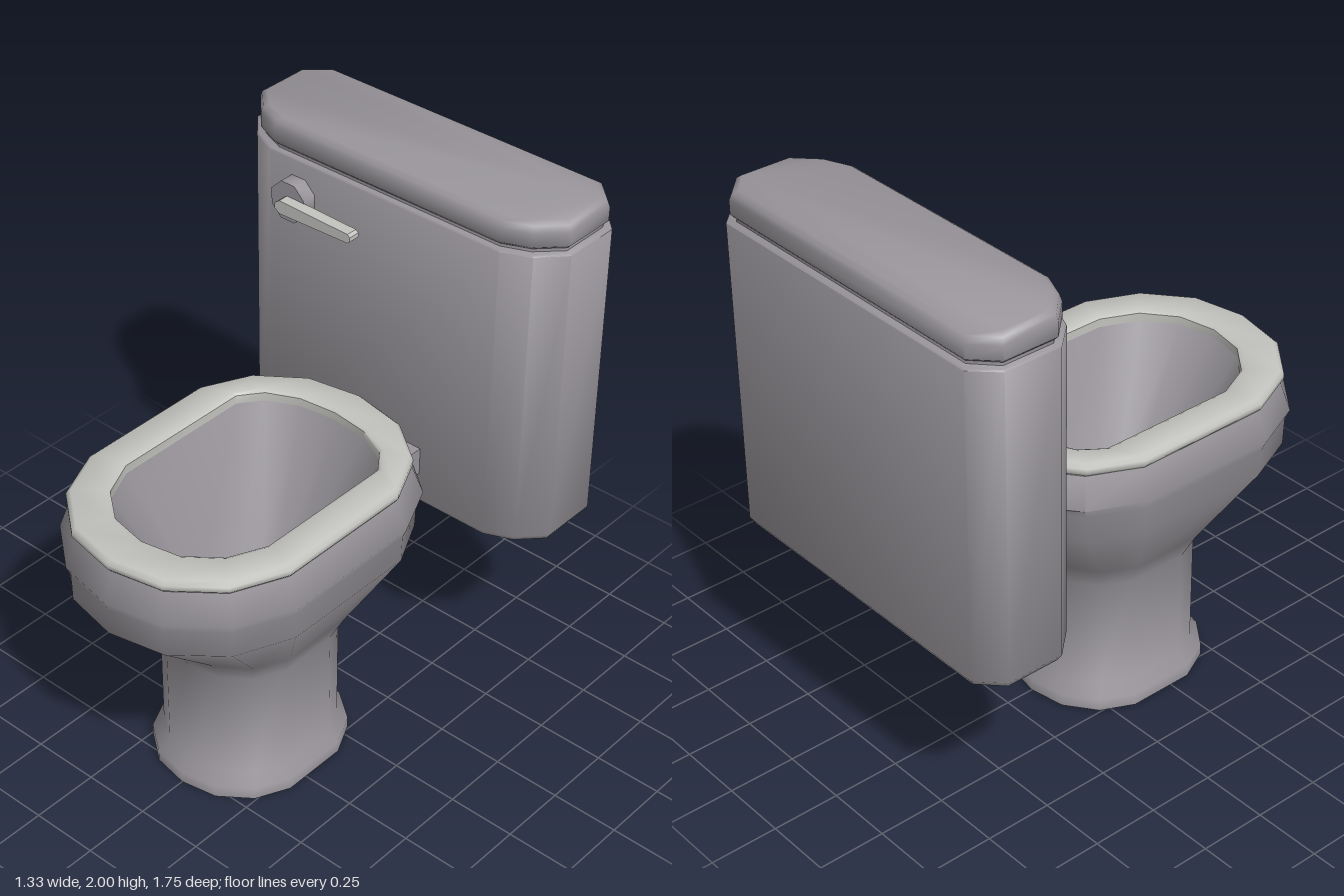
import * as THREE from 'three';
import { toCreasedNormals } from 'three/addons/utils/BufferGeometryUtils.js';

const body = new THREE.MeshStandardMaterial({ name: 'grey ceramic', color: 0x99959b });
const pale = new THREE.MeshStandardMaterial({ name: 'pale grey', color: 0xc2c2be });

// Skin a stack of rings (each a closed loop of [x, y, z]), with optional end caps
function loft(rings, capStart, capEnd, crease = 1.0) {
  const n = rings[0].length, index = [];
  for (let i = 0; i < rings.length - 1; i++) {
    for (let j = 0; j < n; j++) {
      const k = (j + 1) % n;
      const a = i * n + j, b = i * n + k, d = a + n, c = b + n;
      index.push(a, d, b, b, d, c);
    }
  }
  const last = (rings.length - 1) * n;
  for (let j = 1; j < n - 1; j++) {
    if (capStart) index.push(0, j, j + 1);
    if (capEnd) index.push(last, last + j + 1, last + j);
  }
  const geo = new THREE.BufferGeometry();
  geo.setAttribute('position', new THREE.Float32BufferAttribute(rings.flat(2), 3));
  geo.setIndex(index);
  return toCreasedNormals(geo, crease);
}

// Fourteen-sided oval: half width w, back and front ends, and the straight side s0..s1
const quarter = [[1, 0], [0.81, 0.53], [0.45, 0.89], [0, 1]];
function oval([y, w, back, front, s0, s1]) {
  const half = [...quarter, ...quarter.slice(0, 3).reverse().map(([c, s]) => [-c, s])];
  return [
    ...half.map(([c, s]) => [c * w, y, s1 + (front - s1) * s]),
    ...half.map(([c, s]) => [-c * w, y, s0 + (back - s0) * s]),
  ];
}

// Tank outline with chamfered back corners and rounder front corners, shrunk by an inset
const corner = [[0.667, -0.795], [0.667, -0.58], [0.585, -0.49], [0.485, -0.445]];
const tankOutline = [
  ...corner, ...corner.map(([x, z]) => [-x, z]).reverse(), [-0.585, -0.877], [0.585, -0.877],
];
const tankRing = ([y, inset]) => tankOutline.map(([x, z]) => [
  x * (1 - inset / 0.667), y, -0.661 + (z + 0.661) * (1 - inset / 0.216),
]);

export function createModel() {
  const group = new THREE.Group();
  const add = (name, geo, mat, x = 0, y = 0, z = 0) => {
    const mesh = new THREE.Mesh(geo, mat);
    mesh.name = name;
    mesh.position.set(x, y, z);
    group.add(mesh);
    return mesh;
  };

  // Pedestal and bowl: up the outside, over the rim, down to the basin floor
  add('bowl', loft([
    [0, 0.30, -0.14, 0.555, 0.08, 0.33],
    [0.045, 0.30, -0.14, 0.555, 0.08, 0.33],
    [0.085, 0.265, -0.10, 0.51, 0.09, 0.32],
    [0.51, 0.265, -0.10, 0.51, 0.09, 0.32],
    [0.60, 0.308, -0.14, 0.56, 0.07, 0.34],
    [0.87, 0.457, -0.37, 0.86, -0.04, 0.48],
    [0.97, 0.46, -0.375, 0.86, -0.04, 0.485],
    [1.005, 0.475, -0.41, 0.875, -0.04, 0.49],
    [1.115, 0.437, -0.365, 0.835, -0.03, 0.485],
    [1.118, 0.317, -0.23, 0.70, -0.08, 0.45],
    [0.62, 0.15, -0.04, 0.42, 0.07, 0.30],
  ].map(oval), true, true), body);

  // Seat ring
  add('seat', loft([
    [1.116, 0.317, -0.23, 0.70, -0.08, 0.45],
    [1.114, 0.437, -0.355, 0.84, -0.03, 0.485],
    [1.125, 0.445, -0.365, 0.85, -0.03, 0.49],
    [1.143, 0.445, -0.365, 0.85, -0.03, 0.49],
    [1.156, 0.43, -0.35, 0.835, -0.03, 0.485],
    [1.156, 0.33, -0.245, 0.715, -0.08, 0.45],
    [1.148, 0.315, -0.23, 0.70, -0.08, 0.45],
    [1.116, 0.315, -0.23, 0.70, -0.08, 0.45],
  ].map(oval), false, false), pale);

  // Neck joining the bowl to the tank
  add('neck', new THREE.BoxGeometry(0.4, 0.105, 0.19), body, 0, 0.925, -0.365);

  // Tank, recessed gap and lid
  add('tank', loft([[0.735, 0.035], [0.745, 0.015], [0.77, 0], [1.885, 0], [1.89, 0.006]]
    .map(tankRing), true, true), body);
  add('lidGap', loft([[1.885, 0.025], [1.91, 0.025]].map(tankRing), true, true), body);
  add('lid', loft([[1.903, 0.022], [1.915, 0.011], [1.965, 0.011], [1.988, 0.018], [2.0, 0.035]]
    .map(tankRing), true, true), body);

  // Flush knob and lever
  const knob = new THREE.CylinderGeometry(0.077, 0.077, 0.06, 8).rotateY(Math.PI / 8).rotateX(Math.PI / 2);
  add('flushKnob', toCreasedNormals(knob, 0.9), body, -0.358, 1.755, -0.42);
  const lever = new THREE.Shape();
  lever.moveTo(-0.36, -0.025);
  lever.lineTo(-0.06, -0.017);
  lever.lineTo(-0.05, -0.008);
  lever.lineTo(-0.05, 0.008);
  lever.lineTo(-0.06, 0.017);
  lever.lineTo(-0.36, 0.025);
  lever.lineTo(-0.38, 0.01);
  lever.lineTo(-0.38, -0.01);
  const leverGeo = new THREE.ExtrudeGeometry(lever, { depth: 0.043, bevelEnabled: false });
  add('flushLever', leverGeo, pale, 0, 1.753, -0.393);

  return group;
}
